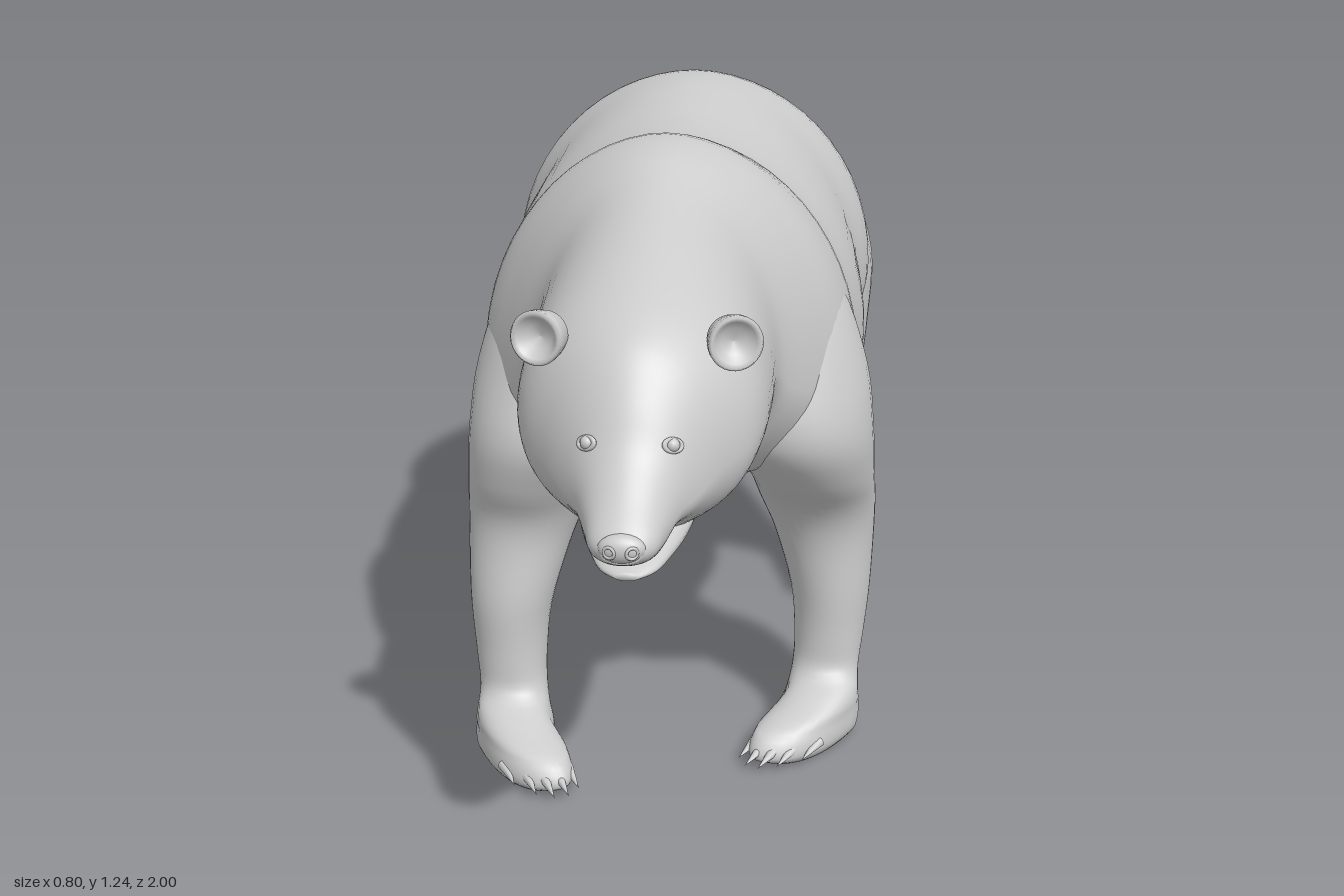
import * as THREE from 'three';

const material = new THREE.MeshStandardMaterial({ color: 0xcccccc });
const { clamp, lerp, smoothstep } = THREE.MathUtils;

// Signed power, used to round or square off an ellipse
const spow = (v, p) => Math.sign(v) * Math.pow(Math.abs(v), p);

function addMesh(parent, name, geometry) {
  const mesh = new THREE.Mesh(geometry, material);
  mesh.name = name;
  parent.add(mesh);
  return mesh;
}

// Catmull-Rom refinement of a list of section rows
function refine(rows, steps) {
  const out = [];
  for (let i = 0; i < rows.length - 1; i++) {
    const a = rows[Math.max(i - 1, 0)], b = rows[i], c = rows[i + 1];
    const d = rows[Math.min(i + 2, rows.length - 1)];
    for (let k = 0; k < steps; k++) {
      const t = k / steps;
      out.push(b.map((v, n) => v + 0.5 * t * (c[n] - a[n] +
        t * (2 * a[n] - 5 * v + 4 * c[n] - d[n] + t * (3 * (v - c[n]) + d[n] - a[n])))));
    }
  }
  out.push(rows[rows.length - 1]);
  return out;
}

// Skin closed rings of points and cap both ends
function loft(rings) {
  const n = rings[0].length, pos = rings.flat(2), index = [];
  for (let i = 0; i < rings.length - 1; i++) {
    for (let j = 0; j < n; j++) {
      const a = i * n + j, b = i * n + (j + 1) % n;
      index.push(a, b, a + n, b, b + n, a + n);
    }
  }
  for (const end of [0, rings.length - 1]) {
    const centre = pos.length / 3;
    for (let k = 0; k < 3; k++) pos.push(rings[end].reduce((s, p) => s + p[k], 0) / n);
    for (let j = 0; j < n; j++) {
      const a = end * n + j, b = end * n + (j + 1) % n;
      if (end === 0) index.push(centre, b, a); else index.push(centre, a, b);
    }
  }
  const geometry = new THREE.BufferGeometry();
  geometry.setAttribute('position', new THREE.Float32BufferAttribute(pos, 3));
  geometry.setIndex(index);
  geometry.computeVertexNormals();
  return geometry;
}

// Sections along z: [z, top, bottom, height of widest point, half width]
function bodyLoft(rows, sides = 56) {
  return loft(refine(rows, 4).map(([z, top, bottom, mid, w]) =>
    Array.from({ length: sides }, (_, j) => {
      const a = j / sides * Math.PI * 2, c = Math.cos(a), s = Math.sin(a);
      return [w * spow(c, s > 0 ? 1.05 : 0.92), mid + s * (s > 0 ? top - mid : mid - bottom), z];
    })));
}

// Sections downwards: [y, inner x, outer x, back z, front z]
function limbLoft(rows, side, bend, sides = 36) {
  return loft(refine(rows, 4).map(([y, x0, x1, z0, z1]) => {
    const p = lerp(0.85, 1, clamp((y - 0.08) / 0.15, 0, 1));
    return Array.from({ length: sides }, (_, j) => {
      const a = j / sides * Math.PI * 2;
      const x = (x0 + x1) / 2 + (x1 - x0) / 2 * spow(Math.cos(a), p);
      const z = (z0 + z1) / 2 + (z1 - z0) / 2 * spow(Math.sin(a) * side, p);
      return bend(x, y, z);
    });
  }));
}

const torsoRows = [
  [-0.975, 0.94, 0.82, 0.88, 0.05], [-0.965, 0.99, 0.75, 0.87, 0.13], [-0.94, 1.035, 0.68, 0.86, 0.205],
  [-0.88, 1.09, 0.60, 0.85, 0.28], [-0.80, 1.14, 0.56, 0.83, 0.33], [-0.68, 1.195, 0.53, 0.82, 0.372],
  [-0.56, 1.222, 0.50, 0.80, 0.388], [-0.44, 1.225, 0.48, 0.77, 0.367], [-0.30, 1.21, 0.49, 0.76, 0.375],
  [-0.18, 1.197, 0.51, 0.76, 0.378], [-0.04, 1.197, 0.545, 0.77, 0.362], [0.06, 1.222, 0.56, 0.78, 0.362],
  [0.16, 1.245, 0.57, 0.78, 0.345], [0.25, 1.235, 0.59, 0.79, 0.295], [0.33, 1.205, 0.65, 0.82, 0.245],
  [0.40, 1.18, 0.73, 0.87, 0.22], [0.55, 1.135, 0.735, 0.88, 0.216], [0.65, 1.10, 0.72, 0.88, 0.21],
  [0.72, 1.07, 0.71, 0.86, 0.19], [0.78, 1.03, 0.72, 0.84, 0.148], [0.83, 0.965, 0.745, 0.81, 0.11],
  [0.87, 0.90, 0.748, 0.80, 0.085], [0.92, 0.85, 0.73, 0.785, 0.067], [0.965, 0.812, 0.743, 0.775, 0.053],
  [0.99, 0.79, 0.755, 0.773, 0.03],
];
const jawRows = [
  [0.60, 0.78, 0.735, 0.75, 0.09], [0.70, 0.77, 0.705, 0.74, 0.10], [0.78, 0.76, 0.69, 0.725, 0.088],
  [0.85, 0.733, 0.688, 0.71, 0.064], [0.89, 0.716, 0.69, 0.703, 0.046], [0.915, 0.706, 0.694, 0.70, 0.02],
];
const frontRows = [
  [1.06, 0.10, 0.22, 0.03, 0.15], [0.95, 0.08, 0.318, -0.02, 0.22], [0.80, 0.06, 0.374, -0.04, 0.275],
  [0.68, 0.08, 0.39, -0.035, 0.295], [0.58, 0.145, 0.395, -0.035, 0.235], [0.50, 0.17, 0.40, -0.058, 0.165],
  [0.42, 0.20, 0.40, -0.07, 0.135], [0.30, 0.235, 0.395, -0.05, 0.13], [0.20, 0.245, 0.385, -0.02, 0.13],
  [0.14, 0.243, 0.377, 0.01, 0.14], [0.105, 0.235, 0.377, 0.025, 0.20], [0.07, 0.222, 0.38, 0.035, 0.275],
  [0.03, 0.22, 0.38, 0.045, 0.30], [0.008, 0.24, 0.365, 0.065, 0.275],
];
const backRows = [
  [1.06, 0.03, 0.21, -0.77, -0.55], [0.95, 0.02, 0.335, -0.83, -0.47], [0.80, 0.0, 0.388, -0.89, -0.447],
  [0.65, 0.04, 0.385, -0.89, -0.453], [0.50, 0.10, 0.37, -0.82, -0.478], [0.40, 0.13, 0.36, -0.745, -0.515],
  [0.30, 0.16, 0.35, -0.725, -0.57], [0.20, 0.19, 0.35, -0.742, -0.61], [0.13, 0.21, 0.355, -0.75, -0.615],
  [0.095, 0.213, 0.363, -0.755, -0.565], [0.06, 0.213, 0.372, -0.755, -0.51], [0.03, 0.215, 0.372, -0.75, -0.49],
  [0.008, 0.23, 0.358, -0.735, -0.515],
];
const tailRows = [
  [1.03, -0.03, 0.03, -0.93, -0.86], [0.96, -0.065, 0.065, -0.978, -0.88], [0.89, -0.08, 0.08, -0.997, -0.90],
  [0.82, -0.07, 0.07, -1.0, -0.925], [0.76, -0.05, 0.05, -0.998, -0.95], [0.72, -0.028, 0.028, -0.99, -0.96],
  [0.70, -0.01, 0.01, -0.983, -0.967],
];

// Leg with paw and claws; stride moves the lower leg in z, tuck moves it inwards, turn points the toes in
function addLeg(parent, name, rows, side, { stride = 0, tuck = 0, turn = 0 }) {
  const leg = new THREE.Group();
  leg.name = name;
  parent.add(leg);
  const [pawY, x0, x1, z0, z1] = rows[rows.length - 2];
  const ankle = z0 + 0.09;
  const bend = (x, y, z) => {
    const toe = clamp((0.15 - y) / 0.08, 0, 1) * turn * Math.max(0, z - ankle);
    return [side * (x - toe - tuck * (1 - smoothstep(y, 0.08, 0.5))), y,
      z + stride * (1 - smoothstep(y, 0.3, 0.8))];
  };
  addMesh(leg, 'limb', limbLoft(rows, side, bend));
  for (let i = -2; i <= 2; i++) {
    const claw = addMesh(leg, 'claw', new THREE.ConeGeometry(0.012, 0.065, 10));
    claw.position.set(...bend((x0 + x1) / 2 + i * 0.031, pawY + 0.006, z1 + 0.008 - 0.01 * i * i));
    claw.rotation.set(Math.PI / 2 + 0.25, 0, side * Math.atan(turn));
  }
}

export function createModel() {
  const bear = new THREE.Group();
  bear.name = 'bear';

  // Trunk, head and tail sit slightly towards the right legs
  const body = new THREE.Group();
  body.name = 'body';
  body.position.x = -0.008;
  bear.add(body);
  addMesh(body, 'torsoAndHead', bodyLoft(torsoRows));
  addMesh(body, 'lowerJaw', bodyLoft(jawRows, 28));
  addMesh(body, 'tail', limbLoft(tailRows, 1, (x, y, z) => [x, y, z], 24));

  // Walking stance
  addLeg(bear, 'leftFrontLeg', frontRows, 1, { turn: 0.58 });
  addLeg(bear, 'rightFrontLeg', frontRows, -1, { stride: 0.14, turn: 0.52 });
  addLeg(bear, 'leftBackLeg', backRows, 1, {});
  addLeg(bear, 'rightBackLeg', backRows, -1, { stride: -0.18, tuck: 0.12 });

  // Nose pad
  const nose = addMesh(body, 'nose', new THREE.SphereGeometry(1, 20, 14));
  nose.scale.set(0.038, 0.024, 0.02);
  nose.position.set(0, 0.779, 0.98);

  // Cupped ear with a rounded back that sinks into the skull
  const earProfile = [[0, -0.075], [0.026, -0.06], [0.039, -0.035], [0.045, -0.006], [0.046, 0.006],
    [0.042, 0.012], [0.035, 0.007], [0.022, -0.008], [0, -0.013]].map(([x, y]) => new THREE.Vector2(x, y));
  for (const side of [1, -1]) {
    const ear = addMesh(body, 'ear', new THREE.LatheGeometry(earProfile, 28).rotateX(Math.PI / 2));
    ear.position.set(side * 0.16, 1.037, 0.735);
    ear.rotation.set(-0.1, side * 0.3, 0);
    const eye = addMesh(body, 'eye', new THREE.SphereGeometry(0.012, 14, 10));
    eye.position.set(side * 0.068, 0.9, 0.844);
    const lid = addMesh(body, 'eyelid', new THREE.TorusGeometry(0.013, 0.004, 8, 20));
    lid.position.set(side * 0.069, 0.9, 0.846);
    lid.rotation.set(-0.4, side * 0.6, 0);
    lid.scale.set(1.2, 0.8, 1);
    const nostril = addMesh(body, 'nostril', new THREE.TorusGeometry(0.009, 0.003, 6, 14));
    nostril.position.set(side * 0.018, 0.778, 0.996);
    nostril.rotation.y = side * 0.4;
  }
  return bear;
}
